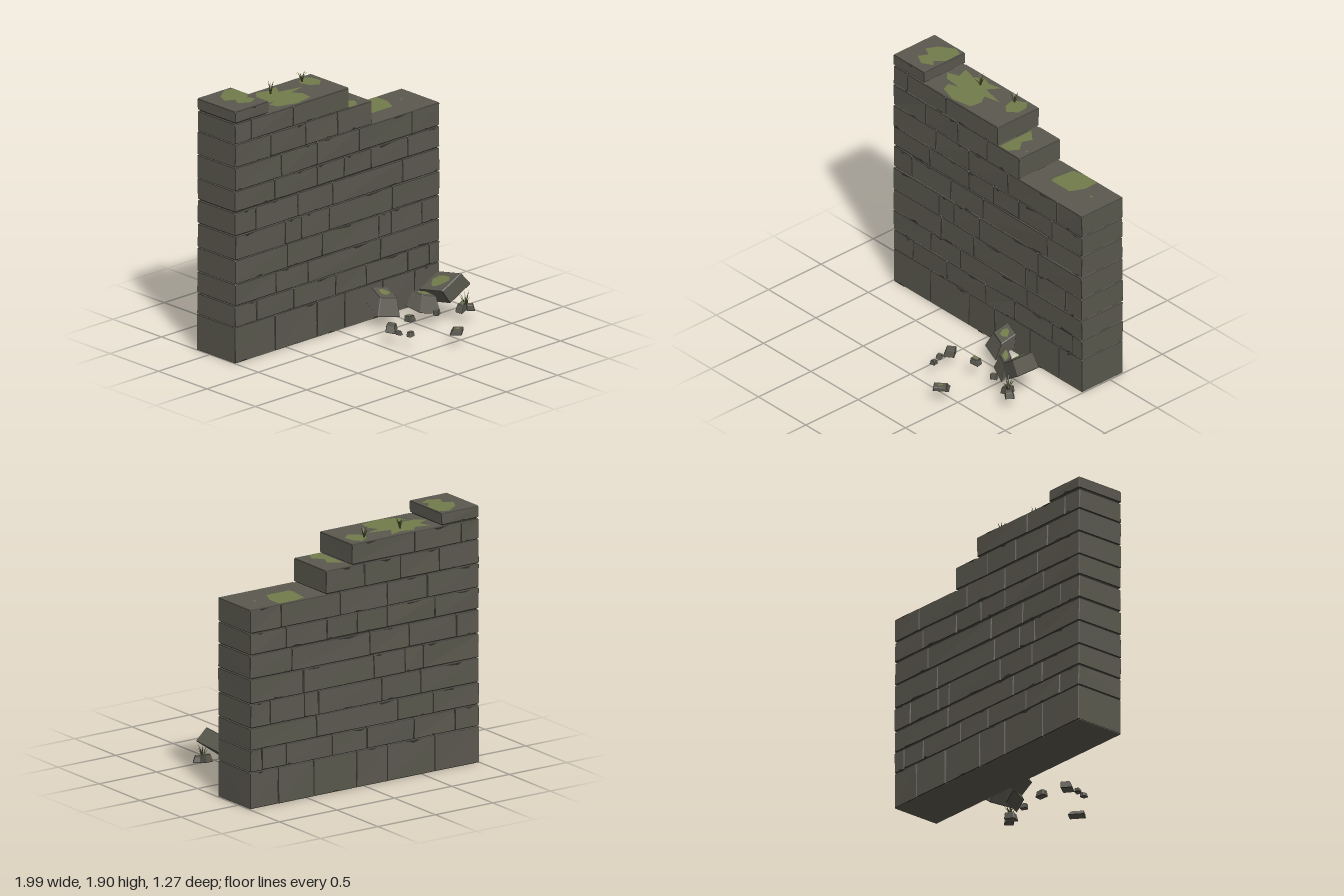
import * as THREE from 'three';

const mats = {
  stone: new THREE.MeshStandardMaterial({ name: 'stone', color: 0x5a584e }),
  edge: new THREE.MeshStandardMaterial({ name: 'dark edge', color: 0x2e2d26 }),
  moss: new THREE.MeshStandardMaterial({ name: 'moss', color: 0x727c4a, side: THREE.DoubleSide }),
  grass: new THREE.MeshStandardMaterial({ name: 'grass', color: 0x3a3f20, side: THREE.DoubleSide }),
};

// seeded random in -1..1
let seed = 11;
function rnd() {
  seed = (seed * 16807) % 2147483647;
  return (seed / 2147483647) * 2 - 1;
}
const V = (x, y, z) => new THREE.Vector3(x, y, z);
const average = pts => pts.reduce((s, p) => s.add(p), V(0, 0, 0)).divideScalar(pts.length);

function meshFrom(points, material, name) {
  const g = new THREE.BufferGeometry().setFromPoints(points);
  g.computeVertexNormals();
  const m = new THREE.Mesh(g, material);
  m.name = name;
  return m;
}

// push a convex polygon as triangles, wound away from a centre point
function pushPoly(out, pts, centre) {
  const n = pts[1].clone().sub(pts[0]).cross(pts[2].clone().sub(pts[0]));
  const p = n.dot(average(pts).sub(centre)) < 0 ? pts.slice().reverse() : pts;
  for (let i = 1; i < p.length - 1; i++) out.push(p[0], p[i], p[i + 1]);
}

// chamfered stone from eight corners; corner index bits: 1 = +x, 2 = +y, 4 = +z
function pushStone(c, bevel, faces, edges) {
  const centre = average(c);
  const at = (i, axis) => {
    const p = c[i].clone();
    for (let k = 0; k < 3; k++) {
      if (k !== axis) p.addScaledVector(c[i ^ (1 << k)].clone().sub(c[i]).normalize(), bevel);
    }
    return p;
  };
  for (let a = 0; a < 3; a++) {
    const u = 1 << ((a + 1) % 3), w = 1 << ((a + 2) % 3);
    for (const s of [0, 1 << a]) {
      pushPoly(faces, [s, s | u, s | u | w, s | w].map(i => at(i, a)), centre);
    }
    for (const i of [0, u, w, u | w]) {
      const j = i | (1 << a), b = (a + 1) % 3, d = (a + 2) % 3;
      pushPoly(edges, [at(i, b), at(j, b), at(j, d), at(i, d)], centre);
    }
  }
  for (let i = 0; i < 8; i++) pushPoly(edges, [at(i, 0), at(i, 1), at(i, 2)], centre);
}

function boxCorners(x0, x1, y0, y1, z0, z1, j) {
  const out = [];
  for (let i = 0; i < 8; i++) {
    out.push(V((i & 1 ? x1 : x0) + rnd() * j[0], (i & 2 ? y1 : y0) + rnd() * j[1], (i & 4 ? z1 : z0) + rnd() * j[2]));
  }
  return out;
}

function box(x0, x1, y0, y1, z0, z1, material, name) {
  const m = new THREE.Mesh(new THREE.BoxGeometry(x1 - x0, y1 - y0, z1 - z0), material);
  m.position.set((x0 + x1) / 2, (y0 + y1) / 2, (z0 + z1) / 2);
  m.name = name;
  return m;
}

const ZB = -0.633, ZF = -0.238;

// each course: bottom, top, block joints along x
const courses = [
  [0, 0.267, [-1, -0.61, -0.2, 0.07, 0.44, 0.75, 0.993]],
  [0.272, 0.428, [-1, -0.79, -0.43, -0.02, 0.28, 0.68, 0.89, 0.993]],
  [0.433, 0.592, [-1, -0.6, -0.29, 0.415, 0.993]],
  [0.598, 0.772, [-1, -0.49, -0.15, 0.4, 0.52, 0.82, 0.993]],
  [0.778, 0.953, [-1, -0.515, -0.355, -0.085, 0.53, 0.993]],
  [0.96, 1.13, [-1, -0.8, -0.39, -0.05, 0.63, 0.993]],
  [1.14, 1.292, [-1, -0.615, -0.2, 0.06, 0.325, 0.68, 0.993]],
  [1.298, 1.47, [-1, -0.55, -0.2, 0.21, 0.725, 0.993]],
  [1.477, 1.646, [-1, -0.655, -0.315, -0.005, 0.333]],
  [1.653, 1.803, [-1, -0.845, -0.44, 0.108]],
  [1.812, 1.896, [-1, -0.672]],
];

function buildWall() {
  const wall = new THREE.Group();
  wall.name = 'wall';
  courses.forEach(([y0, y1, xs], row) => {
    const faces = [], edges = [], chips = [];
    const shift = rnd() * 0.003;
    for (let i = 0; i < xs.length - 1; i++) {
      const a = xs[i] + 0.001, b = xs[i + 1] - 0.001;
      pushStone(boxCorners(a, b, y0, y1, ZB + shift, ZF + shift, [0.001, row ? 0.002 : 0, 0.004]), 0.0055, faces, edges);
      // worn slivers along the block rims, front and back
      for (const s of [1, -1]) {
        const z = s > 0 ? ZF + 0.005 : ZB - 0.005;
        const len = (0.25 + 0.12 * rnd()) * (b - a), x = a + (b - a - len) * (0.5 + 0.5 * rnd());
        const up = rnd() > 0, y = up ? y1 - 0.003 : y0 + 0.003, h = (up ? -1 : 1) * (0.013 + 0.005 * rnd());
        const behind = V(x, y, -0.43);
        pushPoly(chips, [V(x, y, z), V(x + len, y, z), V(x + len * (0.5 + 0.45 * rnd()), y + h, z)], behind);
      }
    }
    wall.add(meshFrom(faces, mats.stone, 'courseBlocks' + row));
    wall.add(meshFrom(edges, mats.edge, 'courseEdges' + row));
    wall.add(meshFrom(chips, mats.edge, 'courseChips' + row));
    // recessed mortar behind the joints
    const end = xs[xs.length - 1];
    wall.add(box(-0.984, end - 0.016, y0 + 0.01, y1 - 0.005, ZB + 0.012, ZF - 0.012, mats.edge, 'mortar' + row));
    const next = courses[row + 1];
    if (next) {
      const right = next[2][next[2].length - 1];
      wall.add(box(-0.985, right - 0.016, y1 - 0.01, next[0] + 0.012, ZB + 0.012, ZF - 0.012, mats.edge, 'bedJoint' + row));
    }
  });
  // smooth tops of the steps and the underside
  for (const [x0, x1, y] of [[-1, -0.672, 1.896], [-0.668, 0.108, 1.803], [0.112, 0.333, 1.646], [0.337, 0.993, 1.47]]) {
    wall.add(box(x0 + 0.006, x1 - 0.006, y - 0.004, y + 0.003, ZB + 0.006, ZF - 0.006, mats.stone, 'stepTop'));
  }
  wall.add(box(-0.997, 0.99, -0.001, 0.006, ZB + 0.004, ZF - 0.004, mats.stone, 'underside'));
  return wall;
}

// moss outlines seen from above: height, then x, z pairs
const mossPatches = [
  [1.901, [-0.86, -0.54, -0.8, -0.58, -0.75, -0.615, -0.685, -0.59, -0.68, -0.45, -0.74, -0.39, -0.7, -0.35, -0.78, -0.305, -0.865, -0.35, -0.83, -0.42, -0.9, -0.455]],
  [1.808, [-0.67, -0.455, -0.58, -0.49, -0.61, -0.58, -0.5, -0.55, -0.45, -0.605, -0.36, -0.575, -0.26, -0.6, -0.32, -0.51, -0.13, -0.47, -0.26, -0.44, -0.215, -0.37, -0.23, -0.28, -0.385, -0.25, -0.53, -0.295, -0.555, -0.36, -0.475, -0.39, -0.61, -0.4]],
  [1.808, [-0.065, -0.57, 0.005, -0.61, 0.05, -0.56, 0.06, -0.48, -0.005, -0.42, -0.065, -0.465, -0.085, -0.535]],
  [1.651, [0.115, -0.55, 0.165, -0.51, 0.21, -0.475, 0.18, -0.4, 0.245, -0.32, 0.2, -0.25, 0.115, -0.25]],
  [1.651, [0.285, -0.345, 0.305, -0.35, 0.3, -0.33]],
  [1.475, [0.49, -0.4, 0.48, -0.44, 0.49, -0.51, 0.5, -0.6, 0.6, -0.625, 0.73, -0.62, 0.735, -0.51, 0.685, -0.4]],
  [1.475, [0.82, -0.47, 0.85, -0.48, 0.845, -0.455]],
];

function mossPatch([y, p]) {
  const pts = [];
  for (let i = 0; i < p.length; i += 2) pts.push(new THREE.Vector2(p[i], -p[i + 1]));
  const m = new THREE.Mesh(new THREE.ShapeGeometry(new THREE.Shape(pts)), mats.moss);
  m.rotation.x = -Math.PI / 2;
  m.position.y = y;
  m.name = 'mossPatch';
  return m;
}

// skewed, tapering stone: centre, three edge vectors, top shrink, moss cover 0..1
function rock(name, centre, [u, v, w], shrink, moss) {
  const g = new THREE.Group(), faces = [], edges = [], corners = [];
  const [eu, ev, ew] = [u, v, w].map(e => V(...e));
  for (let i = 0; i < 8; i++) {
    const k = i & 2 ? 0.5 * shrink : 0.5;
    corners.push(V(...centre).addScaledVector(eu, i & 1 ? k : -k)
      .addScaledVector(ev, i & 2 ? 0.5 : -0.5).addScaledVector(ew, i & 4 ? k : -k));
  }
  pushStone(corners, 0.005, faces, edges);
  g.name = name;
  g.add(meshFrom(faces, mats.stone, 'rockFaces'), meshFrom(edges, mats.edge, 'rockEdges'));
  if (moss) {
    // thin irregular moss skin on the upper face
    const mid = average([corners[2], corners[7]]);
    mid.addScaledVector(ew.clone().cross(eu).normalize(), 0.003);
    const skin = [], rim = [];
    for (let i = 0; i < 9; i++) {
      const a = (i / 9) * Math.PI * 2, r = 0.5 * shrink * moss * (1 + 0.2 * rnd());
      rim.push(mid.clone().addScaledVector(eu, Math.cos(a) * r).addScaledVector(ew, Math.sin(a) * r));
    }
    rim.forEach((p, i) => skin.push(mid, rim[(i + 1) % 9], p));
    g.add(meshFrom(skin, mats.moss, 'rockMoss'));
  }
  return g;
}

// tuft of tapering blades leaning outwards
function tuft(x, y, z, h, spread, count) {
  const pts = [];
  for (let i = 0; i < count; i++) {
    const a = (i / count) * Math.PI * 2 + rnd() * 0.3, k = h * (0.75 + 0.25 * rnd());
    const s = spread * (0.8 + 0.2 * rnd()), c = Math.cos(a), d = Math.sin(a), b = 0.007;
    const l = V(-d * b, 0, c * b), r = V(d * b, 0, -c * b);
    const mid = V(c * s * 0.45, k * 0.6, d * s * 0.45), tip = V(c * s, k, d * s);
    const ml = mid.clone().addScaledVector(l, 0.7), mr = mid.clone().addScaledVector(r, 0.7);
    pts.push(l, r, mr, l, mr, ml, ml, mr, tip);
  }
  const m = meshFrom(pts, mats.grass, 'grassTuft');
  m.position.set(x, y, z);
  return m;
}

export function createModel() {
  const model = new THREE.Group();
  model.name = 'ruinedWall';
  model.add(buildWall());
  mossPatches.forEach(p => model.add(mossPatch(p)));

  // large fallen stones
  const rubble = new THREE.Group();
  rubble.name = 'rubble';
  rubble.add(
    rock('fallenStone', [0.715, 0.24, 0.1], [[0.165, 0.12, 0.04], [-0.07, 0.1, -0.01], [0.03, 0.035, 0.23]], 0.92, 0.62),
    rock('fallenStone', [0.31, 0.18, -0.095], [[0.17, -0.03, 0.05], [0.03, 0.12, -0.02], [-0.03, -0.06, 0.16]], 0.75, 0.6),
    rock('fallenStone', [0.53, 0.17, 0.085], [[0.15, -0.03, 0.06], [0.02, 0.12, -0.01], [0.03, -0.03, 0.13]], 0.65, 0.7),
  );

  // small fragments: centre, width, height, depth, turn, moss cover
  const small = [
    [0.1, 0.115, 0.21, 0.085, 0.055, 0.075, 0.6, 0], [0.085, 0.105, 0.3, 0.045, 0.03, 0.045, 0.4, 0],
    [0.12, 0.11, 0.385, 0.05, 0.035, 0.045, 0.1, 0], [0.32, 0.12, 0.165, 0.075, 0.045, 0.06, 0.2, 0.75],
    [0.4, 0.112, 0.57, 0.12, 0.035, 0.09, 0.7, 0.4], [0.75, 0.12, 0.25, 0.09, 0.06, 0.06, 0.3, 0.5],
    [0.8, 0.115, 0.28, 0.07, 0.045, 0.06, 0.9, 0], [0.55, 0.115, 0.2, 0.055, 0.04, 0.045, 0.5, 0],
  ];
  for (const [x, y, z, w, h, d, turn, moss] of small) {
    const c = Math.cos(turn), s = Math.sin(turn);
    const sides = [[w * c, h * 0.2 * rnd(), -w * s], [w * 0.15 * rnd(), h, d * 0.15 * rnd()], [d * s, h * 0.2 * rnd(), d * c]];
    rubble.add(rock('fragment', [x, y, z], sides, 0.8, moss));
  }
  model.add(rubble);

  // grass on the wall top and beside the rubble
  model.add(tuft(-0.39, 1.803, -0.52, 0.1, 0.045, 7), tuft(-0.06, 1.803, -0.545, 0.09, 0.045, 7), tuft(0.77, 0.11, 0.265, 0.15, 0.055, 8));
  return model;
}
